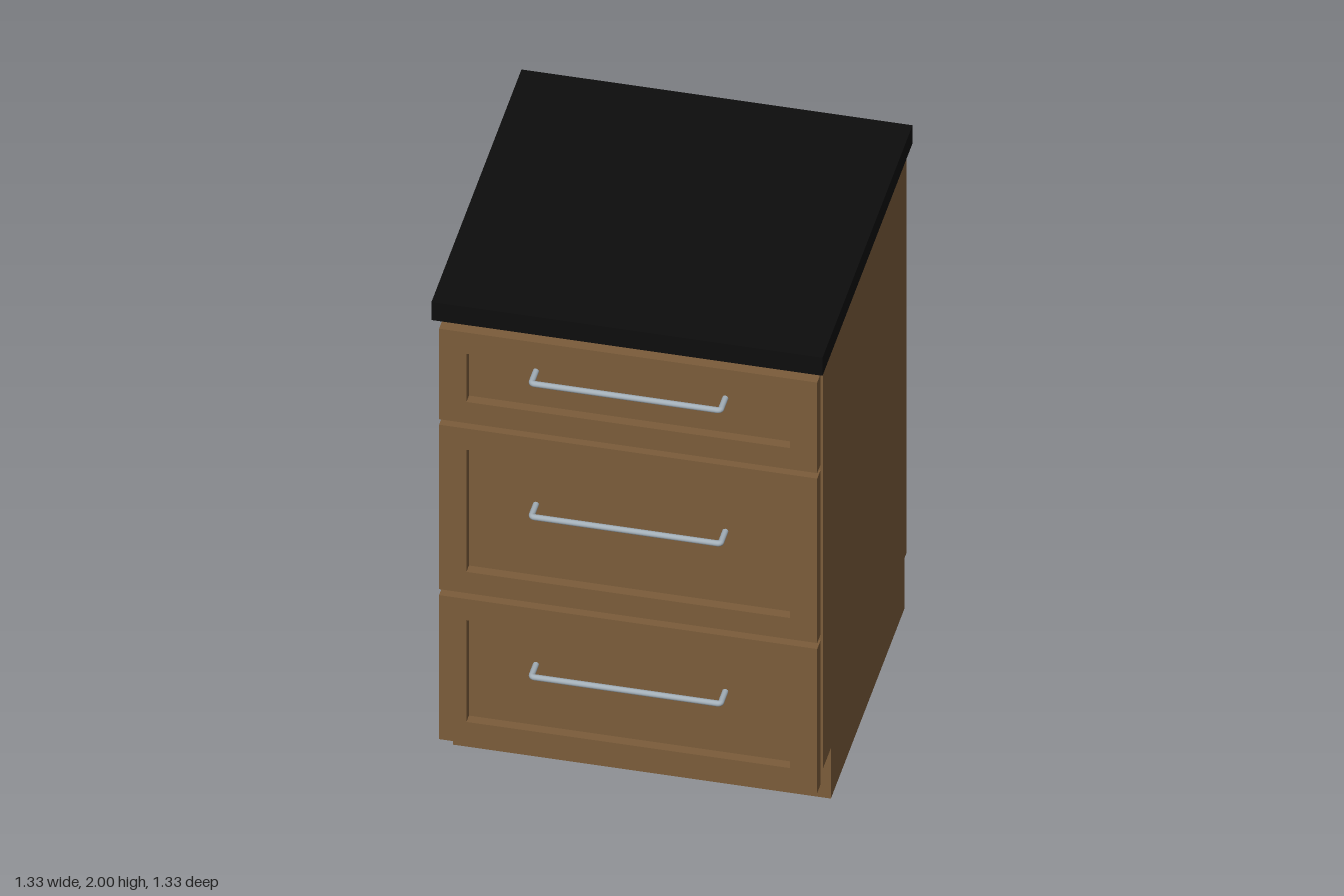
import * as THREE from 'three';

export function createModel() {
  const root = new THREE.Group();
  const mat = (name, color) => {
    const m = new THREE.MeshStandardMaterial({ color });
    m.name = name;
    return m;
  };
  const wood = mat('brown wood', 0x7b5c3a);
  const stone = mat('black stone', 0x0d0d0d);
  const metal = mat('brushed metal', 0xa3afb8);

  // Box given by its min and max along each axis
  const box = (parent, name, material, [x0, x1], [y0, y1], [z0, z1]) => {
    const mesh = new THREE.Mesh(new THREE.BoxGeometry(x1 - x0, y1 - y0, z1 - z0), material);
    mesh.position.set((x0 + x1) / 2, (y0 + y1) / 2, (z0 + z1) / 2);
    mesh.name = name;
    parent.add(mesh);
  };

  // Cabinet body, recessed plinth and worktop
  box(root, 'worktop', stone, [-0.665, 0.665], [1.925, 2], [-0.665, 0.638]);
  box(root, 'carcass', wood, [-0.648, 0.648], [0.227, 1.925], [-0.648, 0.558]);
  box(root, 'plinth', wood, [-0.643, 0.643], [0, 0.227], [-0.643, 0.423]);

  // Bar handle: one round rod with two tightly bent ends
  const v = (x, z) => new THREE.Vector3(x, 0, z);
  const path = new THREE.CurvePath();
  const hx = 0.322, front = 0.655, back = 0.575, bend = 0.012;
  path.add(new THREE.LineCurve3(v(-hx, back), v(-hx, front - bend)));
  path.add(new THREE.QuadraticBezierCurve3(v(-hx, front - bend), v(-hx, front), v(-hx + bend, front)));
  path.add(new THREE.LineCurve3(v(-hx + bend, front), v(hx - bend, front)));
  path.add(new THREE.QuadraticBezierCurve3(v(hx - bend, front), v(hx, front), v(hx, front - bend)));
  path.add(new THREE.LineCurve3(v(hx, front - bend), v(hx, back)));
  const handleGeometry = new THREE.TubeGeometry(path, 200, 0.0105, 12, false);

  // Drawer fronts: stiles and rails around a recessed panel
  const W = 0.643, S = 0.093, R = 0.088, Z = [0.572, 0.621];
  const drawers = [
    { name: 'bottomDrawer', y0: 0.17, y1: 0.77, handle: 0.511 },
    { name: 'middleDrawer', y0: 0.795, y1: 1.48, handle: 1.178 },
    { name: 'topDrawer', y0: 1.503, y1: 1.88, handle: 1.733 },
  ];
  for (const { name, y0, y1, handle } of drawers) {
    const drawer = new THREE.Group();
    drawer.name = name;
    root.add(drawer);
    box(drawer, 'rightStile', wood, [-W, -W + S], [y0, y1], Z);
    box(drawer, 'leftStile', wood, [W - S, W], [y0, y1], Z);
    box(drawer, 'bottomRail', wood, [-W + S, W - S], [y0, y0 + R], Z);
    box(drawer, 'topRail', wood, [-W + S, W - S], [y1 - R, y1], Z);
    box(drawer, 'panel', wood, [-W + 0.05, W - 0.05], [y0 + 0.05, y1 - 0.05], [0.558, 0.585]);
    const bar = new THREE.Mesh(handleGeometry, metal);
    bar.name = 'handle';
    bar.position.y = handle;
    drawer.add(bar);
  }
  return root;
}
